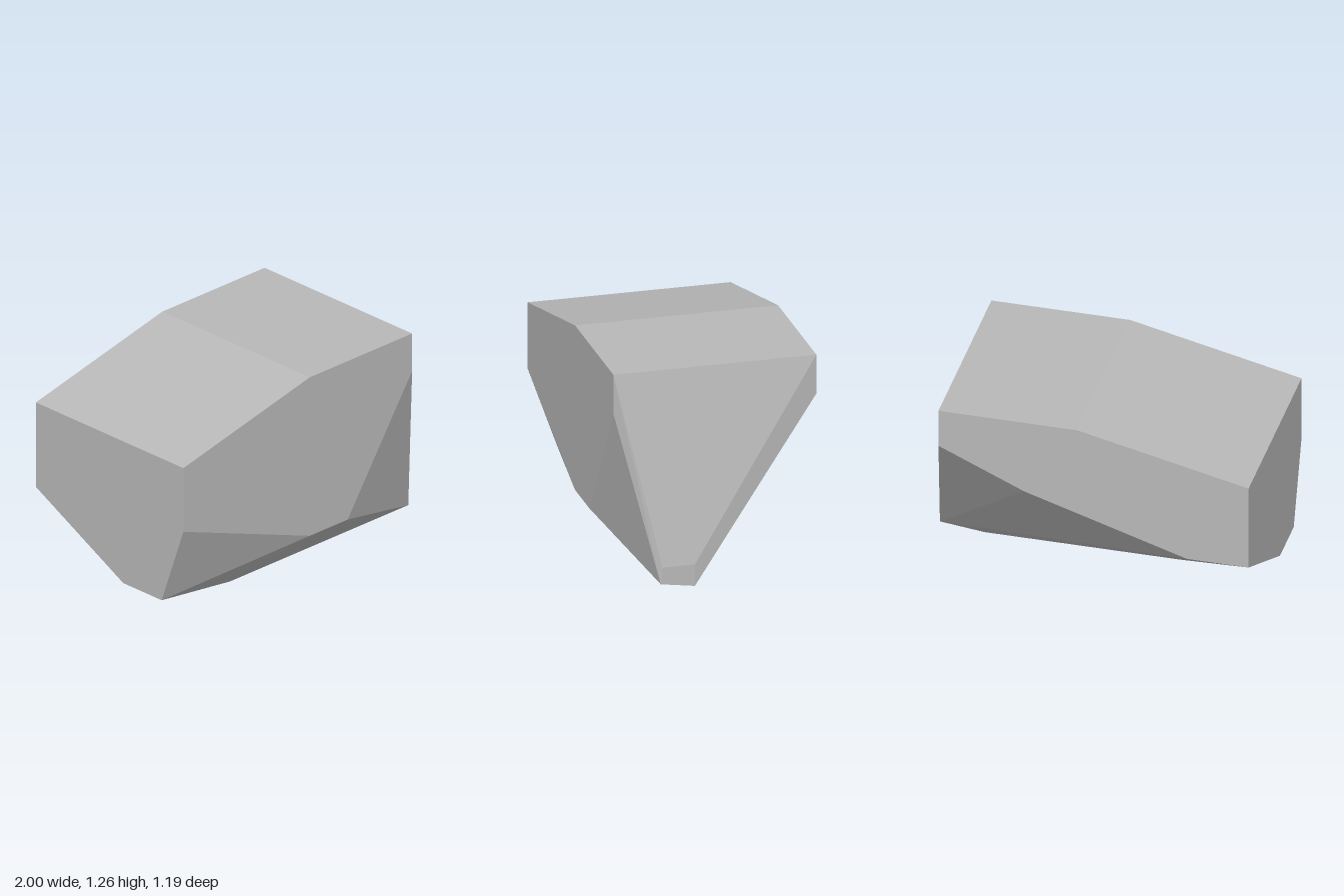
import * as THREE from 'three';
import { ConvexGeometry } from 'three/addons/geometries/ConvexGeometry.js';

export function createModel() {
  const model = new THREE.Group();
  model.name = 'facetedBlock';

  const stone = new THREE.MeshStandardMaterial({ color: 0xb8b8b8 });
  stone.name = 'stone grey';

  const corners = [];
  const add = (x, y, z) => corners.push(new THREE.Vector3(x, y, z));

  // Top corners, mirrored front to back
  for (const z of [-0.595, 0.595]) {
    add(-1, 1.03, z);
    add(0, 1.26, z);
    add(0.81, 1.26, z);
    add(0.81, 1.025, z);
  }

  // Lower edge of the front face
  add(-1, 0.63, 0.595);
  add(0, 0.265, 0.595);
  add(0.3, 0.265, 0.595);

  // Lower edge of the back face
  add(-1, 0.5, -0.595);
  add(-0.64, 0.5, -0.595);
  add(0.31, 0.8, -0.595);

  // Small flat tip on the +x end
  add(1, 0.14, 0.36);
  add(1, 0.14, 0.17);
  add(1, 0.01, 0.17);
  add(1, 0.04, 0.37);

  // Narrow underside and the lower corners of the -x end
  add(-0.41, 0.04, 0.37);
  add(-0.41, 0, 0.14);
  add(0.73, 0, 0.14);
  add(-1, 0.14, 0.42);
  add(-1, 0.14, 0.11);

  const block = new THREE.Mesh(new ConvexGeometry(corners), stone);
  block.name = 'block';
  model.add(block);
  return model;
}
